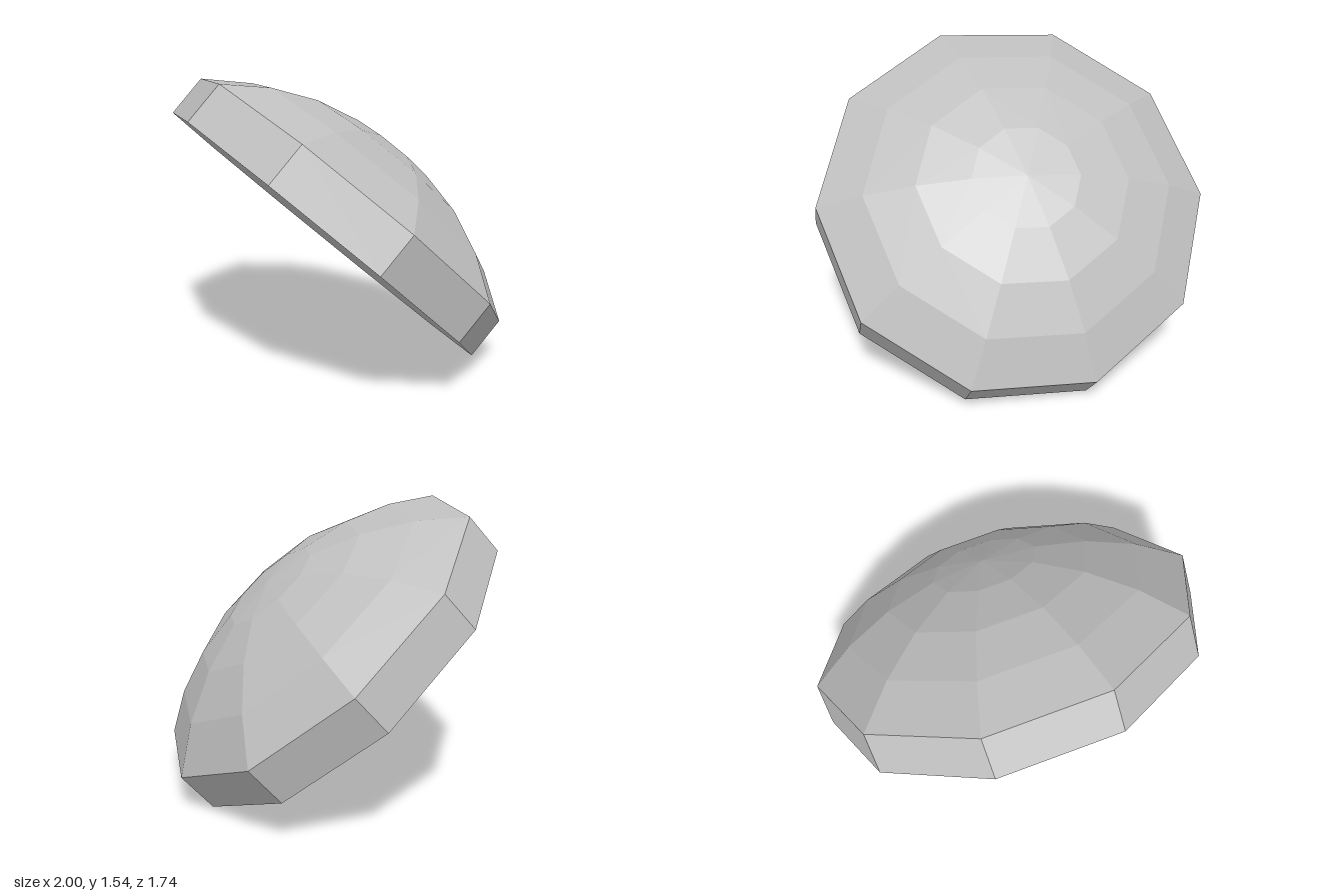
import * as THREE from 'three';

const SIDES = 10;
const RADIUS = 1.046;      // rim radius
const RIM = 0.24;          // height of the straight rim
const SPHERE = 1.663;      // radius of the sphere the dome is cut from
const RINGS = 4;

export function createModel() {
  const grey = new THREE.MeshStandardMaterial({ color: 0xc0c0c0, flatShading: true });
  grey.name = 'grey';

  const model = new THREE.Group();
  model.name = 'tiltedDome';
  const addLathe = (name, points) => {
    const geometry = new THREE.LatheGeometry(points.map(([r, y]) => new THREE.Vector2(r, y)), SIDES);
    const mesh = new THREE.Mesh(geometry, grey);
    mesh.name = name;
    body.add(mesh);
  };

  // Tilted frame: local y is the dome axis, local z points at a rim corner
  const body = new THREE.Group();
  body.name = 'domeBody';
  const axis = new THREE.Vector3(0.199, 0.746, -0.637).normalize();
  const corner = new THREE.Vector3(-0.005, 0.65, 0.76);
  corner.addScaledVector(axis, -corner.dot(axis)).normalize();
  const side = new THREE.Vector3().crossVectors(axis, corner);
  body.quaternion.setFromRotationMatrix(new THREE.Matrix4().makeBasis(side, axis, corner));
  body.position.set(-0.025, 0.68, 0.075);
  model.add(body);

  // Flat underside and straight rim
  addLathe('base', [[0, 0], [RADIUS, 0]]);
  addLathe('rim', [[RADIUS, 0], [RADIUS, RIM]]);

  // Shallow spherical cap in even angular steps
  const edge = Math.asin(RADIUS / SPHERE);
  const cap = [];
  for (let i = 0; i <= RINGS; i++) {
    const t = edge * (1 - i / RINGS);
    cap.push([SPHERE * Math.sin(t), RIM + SPHERE * (Math.cos(t) - Math.cos(edge))]);
  }
  addLathe('dome', cap);

  return model;
}
